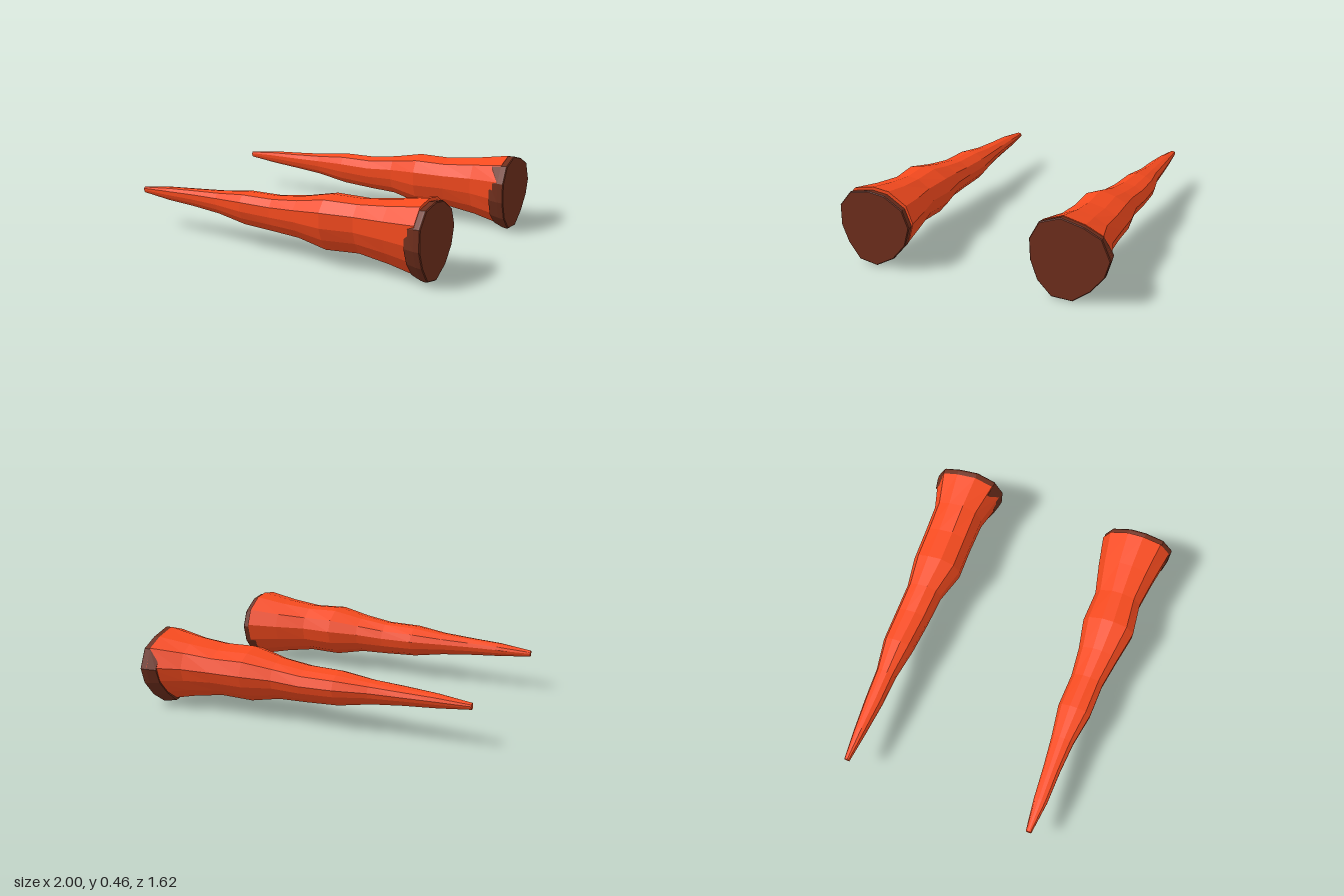
import * as THREE from 'three';

// Stations along the length: x, bottom y, top y
const STATIONS = [
  [-1, 0.22, 0.258], [-0.8, 0.2, 0.282], [-0.6, 0.186, 0.296], [-0.41, 0.168, 0.31],
  [-0.21, 0.135, 0.336], [0, 0.124, 0.34], [0.18, 0.118, 0.364], [0.37, 0.08, 0.405],
  [0.57, 0.088, 0.402], [0.76, 0.06, 0.425], [0.96, 0.018, 0.46],
];

// Each horn: butt outline (z, y) and its z range at every station
const HORNS = [
  {
    name: 'frontHorn',
    outline: [[0.62, 0.445], [0.52, 0.43], [0.41, 0.36], [0.37, 0.26], [0.4, 0.15], [0.48, 0.06],
      [0.59, 0.003], [0.7, 0.025], [0.77, 0.12], [0.81, 0.22], [0.81, 0.34], [0.74, 0.425]],
    spans: [[0.58, 0.615], [0.555, 0.64], [0.54, 0.646], [0.52, 0.66], [0.49, 0.695], [0.498, 0.7],
      [0.48, 0.73], [0.442, 0.765], [0.45, 0.74], [0.405, 0.766], [0.365, 0.8]],
  },
  {
    name: 'backHorn',
    outline: [[-0.53, 0.46], [-0.66, 0.425], [-0.76, 0.375], [-0.81, 0.26], [-0.78, 0.165], [-0.7, 0.07],
      [-0.6, 0], [-0.48, 0.008], [-0.4, 0.09], [-0.36, 0.2], [-0.355, 0.32], [-0.41, 0.42]],
    spans: [[-0.592, -0.558], [-0.613, -0.535], [-0.63, -0.516], [-0.641, -0.51], [-0.68, -0.482], [-0.685, -0.466],
      [-0.686, -0.456], [-0.72, -0.404], [-0.729, -0.41], [-0.74, -0.41], [-0.803, -0.362]],
  },
];

// Skin a list of rings (running towards +x) and close both ends
function loft(rings) {
  const n = rings[0].length;
  const pos = rings.flat(2);
  const index = [];
  for (let i = 0; i < rings.length - 1; i++) {
    for (let j = 0; j < n; j++) {
      const a = i * n + j, b = i * n + (j + 1) % n;
      index.push(a, a + n, b, b, a + n, b + n);
    }
  }
  const last = (rings.length - 1) * n;
  for (let j = 1; j < n - 1; j++) {
    index.push(0, j, j + 1);
    index.push(last, last + j + 1, last + j);
  }
  const g = new THREE.BufferGeometry();
  g.setAttribute('position', new THREE.Float32BufferAttribute(pos, 3));
  g.setIndex(index);
  const flat = g.toNonIndexed();
  flat.computeVertexNormals();
  return flat;
}

// Stretch the outline to fill a z range and a y range at x
function fitRing(outline, x, [z0, z1], [y0, y1]) {
  const zs = outline.map(p => p[0]), ys = outline.map(p => p[1]);
  const za = Math.min(...zs), zb = Math.max(...zs);
  const ya = Math.min(...ys), yb = Math.max(...ys);
  return outline.map(([z, y]) => [
    x,
    y0 + (y1 - y0) * (y - ya) / (yb - ya),
    z0 + (z1 - z0) * (z - za) / (zb - za),
  ]);
}

// Scale the outline about its middle, with an optional ripple
function scaledRing(outline, x, s, ripple = 0) {
  const cz = outline.reduce((t, p) => t + p[0], 0) / outline.length;
  const cy = 0.23;
  return outline.map(([z, y], j) => {
    const k = s + ripple * Math.sin(j * 2.4);
    return [x, cy + (y - cy) * k, cz + (z - cz) * k];
  });
}

export function createModel() {
  const model = new THREE.Group();
  const skin = new THREE.MeshStandardMaterial({ color: 0xf54a1e, flatShading: true });
  const butt = new THREE.MeshStandardMaterial({ color: 0x6e2e1c, flatShading: true });

  for (const { name, outline, spans } of HORNS) {
    const horn = new THREE.Group();
    horn.name = name;

    // Tapering, wavy shaft
    const rings = STATIONS.map(([x, y0, y1], i) => fitRing(outline, x, spans[i], [y0, y1]));
    const shaft = new THREE.Mesh(loft(rings), skin);
    shaft.name = 'shaft';

    // Dark end plate, its uneven edge just breaking through the shaft
    const plate = new THREE.Mesh(loft([
      scaledRing(outline, 0.9, 0.91, 0.025),
      scaledRing(outline, 0.96, 0.985),
      scaledRing(outline, 0.985, 1),
      scaledRing(outline, 0.995, 1),
      scaledRing(outline, 1, 0.98),
    ]), butt);
    plate.name = 'endPlate';

    horn.add(shaft, plate);
    model.add(horn);
  }
  return model;
}
